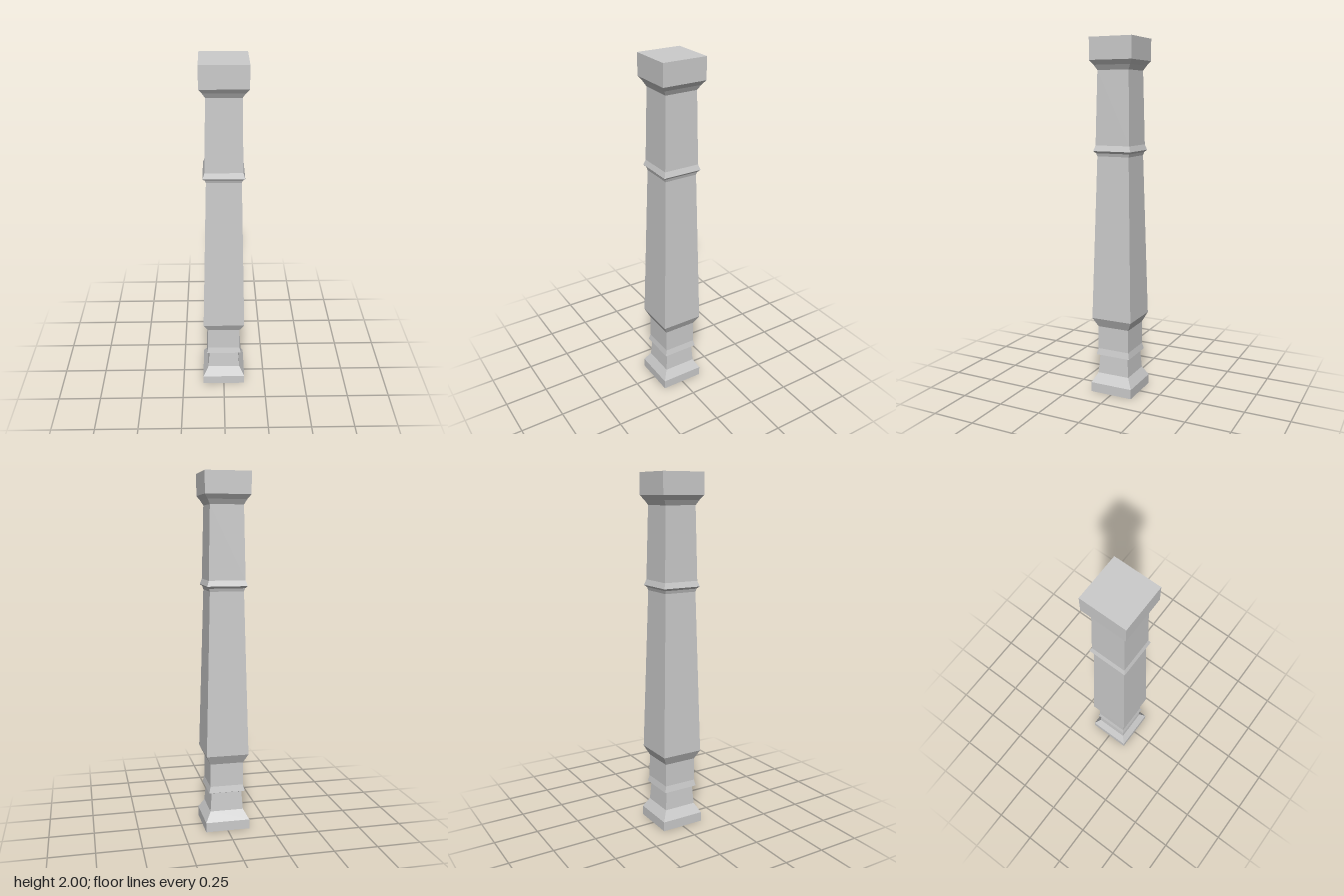
import * as THREE from 'three';

const material = new THREE.MeshStandardMaterial({
  color: 0xcccccc, flatShading: true, side: THREE.DoubleSide,
});

// Square section swept up a profile of [half width, height] points.
function squareTurning(name, profile) {
  const points = profile.map(([half, y]) => new THREE.Vector2(half * Math.SQRT2, y));
  const lathe = new THREE.LatheGeometry(points, 4, Math.PI / 4);
  const geometry = lathe.toNonIndexed();
  geometry.computeVertexNormals();
  const mesh = new THREE.Mesh(geometry, material);
  mesh.name = name;
  return mesh;
}

export function createModel() {
  const post = new THREE.Group();
  post.name = 'squarePost';

  post.add(
    // Plinth, open underneath, with a sloped shoulder and short neck
    squareTurning('base', [[0.126, 0], [0.126, 0.055], [0.095, 0.11], [0.087, 0.215]]),
    // Thin flared moulding above the base
    squareTurning('lowerMoulding', [[0.087, 0.215], [0.103, 0.222], [0.095, 0.258]]),
    // Straight neck widening into the foot of the shaft
    squareTurning('neck', [[0.095, 0.258], [0.094, 0.39], [0.12, 0.443]]),
    // Long tapering shaft
    squareTurning('shaft', [[0.12, 0.443], [0.095, 1.365]]),
    // Flared moulding around the shaft
    squareTurning('upperMoulding', [[0.095, 1.365], [0.1, 1.382], [0.112, 1.394], [0.102, 1.425]]),
    // Upper shaft
    squareTurning('upperShaft', [[0.102, 1.425], [0.093, 1.828]]),
    // Coved underside and square block with a closed top
    squareTurning('capital', [[0.093, 1.828], [0.108, 1.855], [0.126, 1.88], [0.126, 2], [0, 2]]),
  );
  return post;
}
